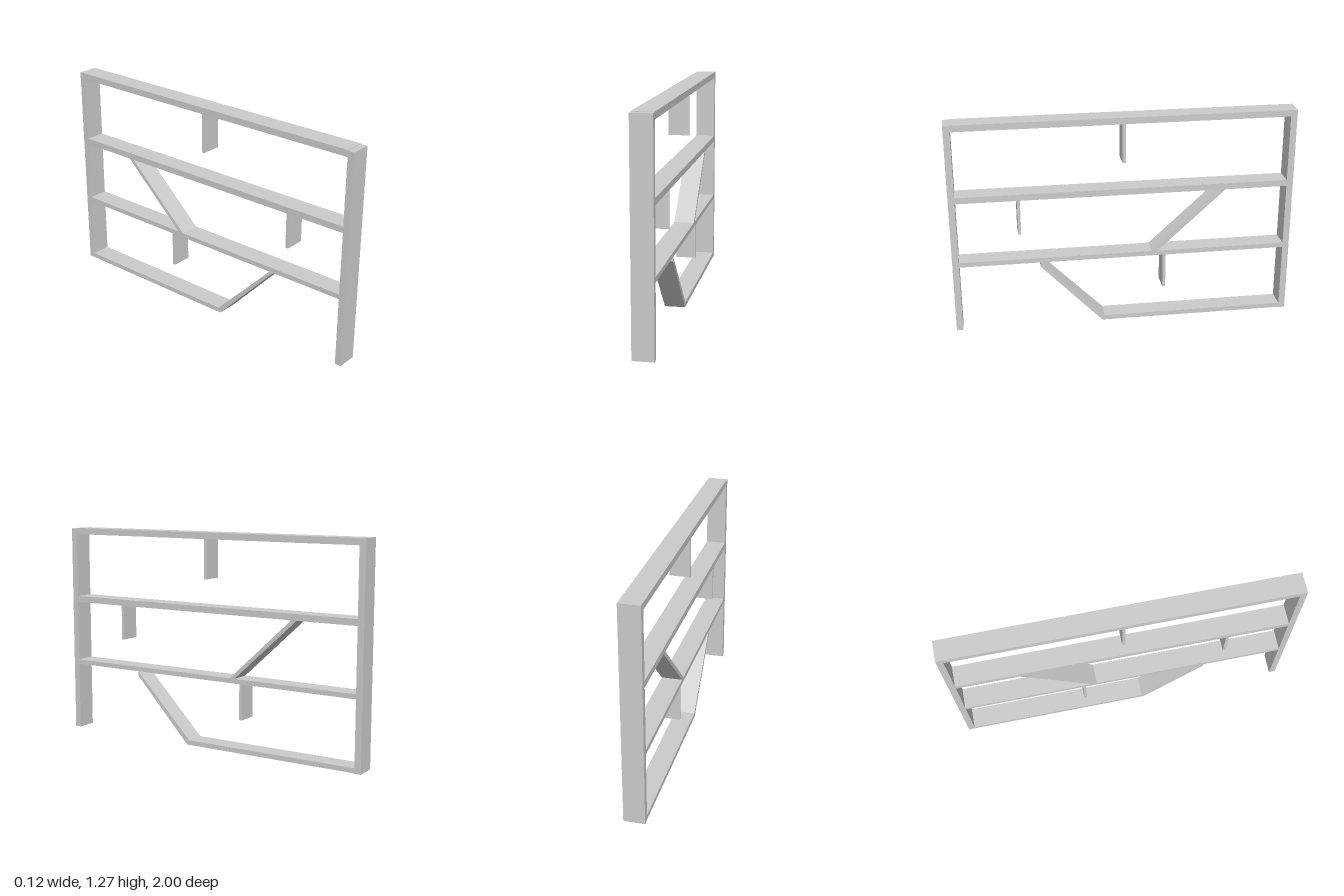
import * as THREE from 'three';

const WIDTH = 0.12;

export function createModel() {
  const model = new THREE.Group();
  const material = new THREE.MeshStandardMaterial({ color: 0xcccccc, flatShading: true });

  // Board spanning z0..z1 and y0..y1 across the full width
  function board(name, z0, z1, y0, y1) {
    const mesh = new THREE.Mesh(new THREE.BoxGeometry(WIDTH, y1 - y0, z1 - z0), material);
    mesh.position.set(0, (y0 + y1) / 2, (z0 + z1) / 2);
    mesh.name = name;
    model.add(mesh);
  }

  // Sloping board: side outline in [z, y] corners, extruded across the width
  function slopingBoard(name, corners) {
    const shape = new THREE.Shape(corners.map(([z, y]) => new THREE.Vector2(z, y)));
    const geometry = new THREE.ExtrudeGeometry(shape, { depth: WIDTH, bevelEnabled: false });
    geometry.translate(0, 0, -WIDTH / 2).rotateY(-Math.PI / 2);
    const mesh = new THREE.Mesh(geometry, material);
    mesh.name = name;
    model.add(mesh);
  }

  // Uprights
  board('frontPost', 0.962, 1, 0, 1.265);
  board('backPost', -1, -0.962, 0, 1.268);

  // Horizontal shelves
  board('topShelf', -0.962, 0.962, 1.23, 1.268);
  board('upperShelf', -0.962, 0.962, 0.805, 0.842);
  board('lowerShelf', -0.962, 0.962, 0.41, 0.438);
  board('bottomShelf', -0.962, 0.125, 0.002, 0.03);

  // Short hanging dividers
  board('topDivider', -0.009, 0.009, 1.0, 1.23);
  board('upperDivider', 0.597, 0.615, 0.597, 0.805);
  board('lowerDivider', -0.249, -0.231, 0.2, 0.41);

  // Diagonal boards
  slopingBoard('upperBrace', [[-0.165, 0.438], [-0.198, 0.438], [-0.597, 0.805], [-0.563, 0.805]]);
  slopingBoard('lowerBrace', [[0.493, 0.41], [0.493, 0.383], [0.132, 0.002], [0.125, 0.002], [0.118, 0.03]]);

  return model;
}
